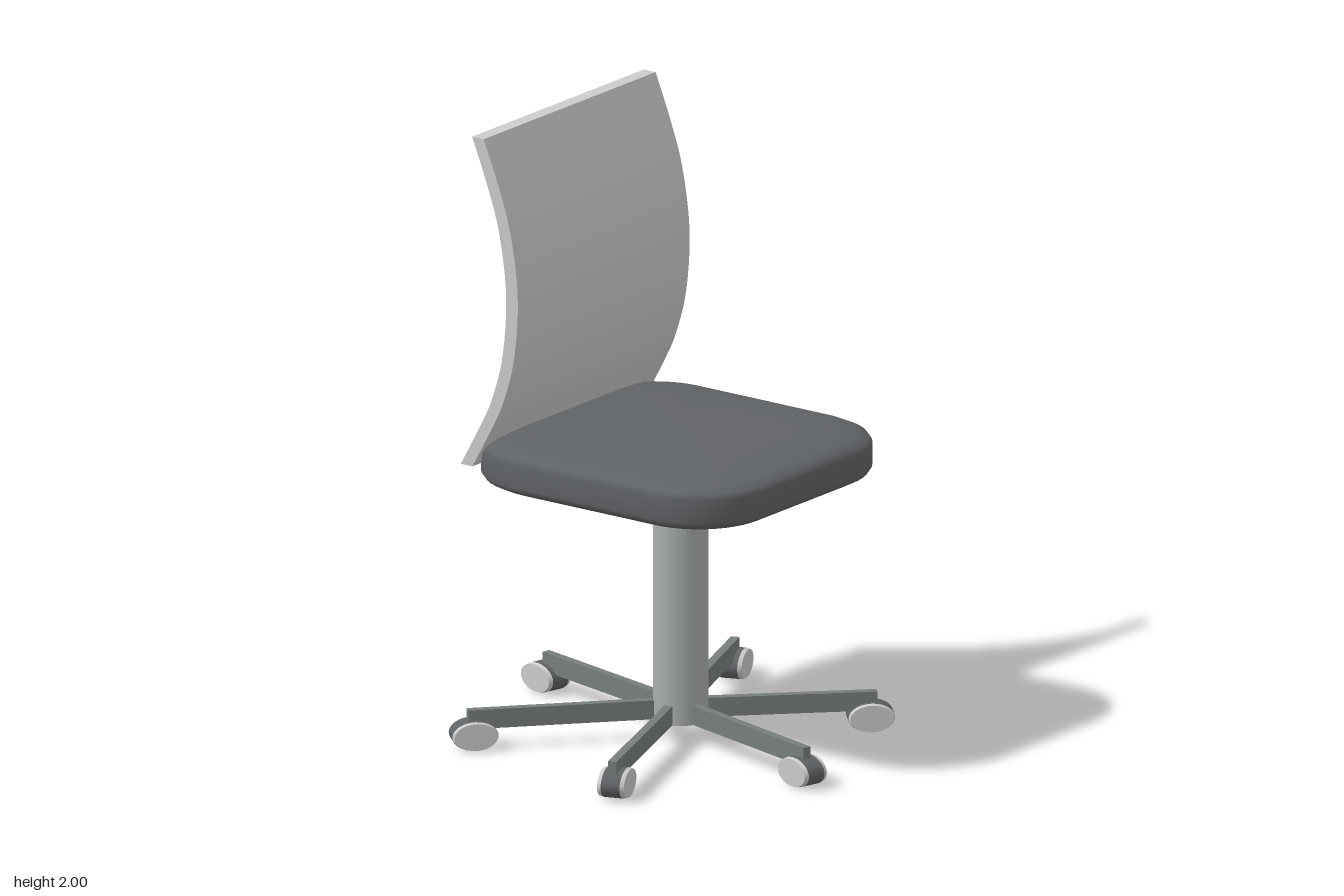
import * as THREE from 'three';
import { toCreasedNormals } from 'three/addons/utils/BufferGeometryUtils.js';

const material = (color) => new THREE.MeshStandardMaterial({ color });

function addMesh(parent, name, geometry, mat, x = 0, y = 0, z = 0) {
  const mesh = new THREE.Mesh(geometry, mat);
  mesh.name = name;
  mesh.position.set(x, y, z);
  parent.add(mesh);
  return mesh;
}

// Cushion lofted through rounded rectangles, each given as [inset, height]
function cushionGeometry(halfX, halfZ, radius, profile) {
  const steps = 12, ring = 4 * (steps + 1);
  const positions = [], index = [];
  for (const [inset, y] of profile) {
    const r = Math.max(radius - inset * 0.6, 0.02);
    const cx = halfX - inset - r, cz = halfZ - inset - r;
    for (let q = 0; q < 4; q++) {
      const sx = q === 0 || q === 3 ? 1 : -1, sz = q < 2 ? 1 : -1;
      for (let i = 0; i <= steps; i++) {
        const a = (q + i / steps) * Math.PI / 2;
        positions.push(sx * cx + r * Math.cos(a), y, sz * cz + r * Math.sin(a));
      }
    }
  }
  for (let k = 0; k < profile.length - 1; k++) {
    for (let i = 0; i < ring; i++) {
      const a = k * ring + i, b = k * ring + (i + 1) % ring;
      index.push(a, a + ring, b, b, a + ring, b + ring);
    }
  }
  // Close the bottom and the top
  const bottom = positions.length / 3, top = bottom + 1, last = (profile.length - 1) * ring;
  positions.push(0, profile[0][1], 0, 0, profile[profile.length - 1][1], 0);
  for (let i = 0; i < ring; i++) {
    const j = (i + 1) % ring;
    index.push(bottom, i, j, top, last + j, last + i);
  }
  const geometry = new THREE.BufferGeometry();
  geometry.setAttribute('position', new THREE.Float32BufferAttribute(positions, 3));
  geometry.setIndex(index);
  geometry.computeVertexNormals();
  return geometry;
}

// Bowed panel: side profile of [depth behind centre, height], extruded across x
function backrestGeometry() {
  const curve = new THREE.SplineCurve([
    [0.465, 0.915], [0.39, 1.05], [0.342, 1.15], [0.3, 1.3], [0.286, 1.5],
    [0.313, 1.7], [0.36, 1.85], [0.42, 2],
  ].map(([d, y]) => new THREE.Vector2(d, y)));
  const front = curve.getPoints(32);
  const back = front.map((p) => new THREE.Vector2(p.x + 0.046, p.y)).reverse();
  const geometry = new THREE.ExtrudeGeometry(new THREE.Shape([...front, ...back]),
    { depth: 0.897, bevelEnabled: false });
  geometry.rotateY(Math.PI / 2).translate(-0.45, 0, 0);
  return toCreasedNormals(geometry, 0.5);
}

export function createModel() {
  const chair = new THREE.Group();
  chair.name = 'officeChair';
  const light = material(0xcccccc);
  const metal = material(0xa9adae);
  const armGrey = material(0x777d7d);
  const dark = material(0x606366);

  // Seat and backrest
  addMesh(chair, 'seat', cushionGeometry(0.4925, 0.525, 0.25, [
    [0.17, 0.845], [0.09, 0.848], [0.04, 0.857], [0.01, 0.873], [0, 0.89],
    [0, 0.965], [0.01, 0.982], [0.04, 0.997], [0.1, 1.006], [0.2, 1.01],
  ]), dark);
  addMesh(chair, 'backrest', backrestGeometry(), light);

  // Column and the plate under the seat
  addMesh(chair, 'column', new THREE.CylinderGeometry(0.087, 0.087, 0.765, 32), metal, 0.002, 0.4475, 0.015);
  addMesh(chair, 'seatPlate', new THREE.CylinderGeometry(0.2, 0.2, 0.04, 40), metal, 0.007, 0.84, 0.027)
    .scale.set(1.04, 1, 0.97);

  // Six arms: caster x, caster z, arm overhang beyond the caster centre
  const spokes = [
    [0.152, -0.63, 0.0], [0.618, -0.24, 0.015], [0.43, 0.44, 0.02],
    [-0.168, 0.622, 0.025], [-0.62, 0.232, 0.05], [-0.48, -0.437, 0.02],
  ];
  const core = new THREE.CylinderGeometry(0.047, 0.047, 0.062, 28).rotateX(Math.PI / 2);
  const cap = new THREE.CylinderGeometry(0.044, 0.047, 0.013, 28).rotateX(Math.PI / 2);
  const capBack = cap.clone().rotateY(Math.PI);
  for (const [x, z, overhang] of spokes) {
    const spoke = new THREE.Group();
    spoke.name = 'spoke';
    spoke.rotation.y = Math.atan2(-z, x);
    const reach = Math.hypot(x, z), length = reach + overhang;
    addMesh(spoke, 'arm', new THREE.BoxGeometry(length, 0.062, 0.028), armGrey, length / 2, 0.098, 0);

    // Oval caster with a light cap on each side
    const caster = new THREE.Group();
    caster.name = 'caster';
    caster.position.set(reach, 0.048, 0);
    caster.scale.x = 1.58;
    addMesh(caster, 'casterCore', core, dark);
    addMesh(caster, 'casterCap', cap, light, 0, 0, 0.0375);
    addMesh(caster, 'casterCap', capBack, light, 0, 0, -0.0375);
    spoke.add(caster);
    chair.add(spoke);
  }
  return chair;
}
